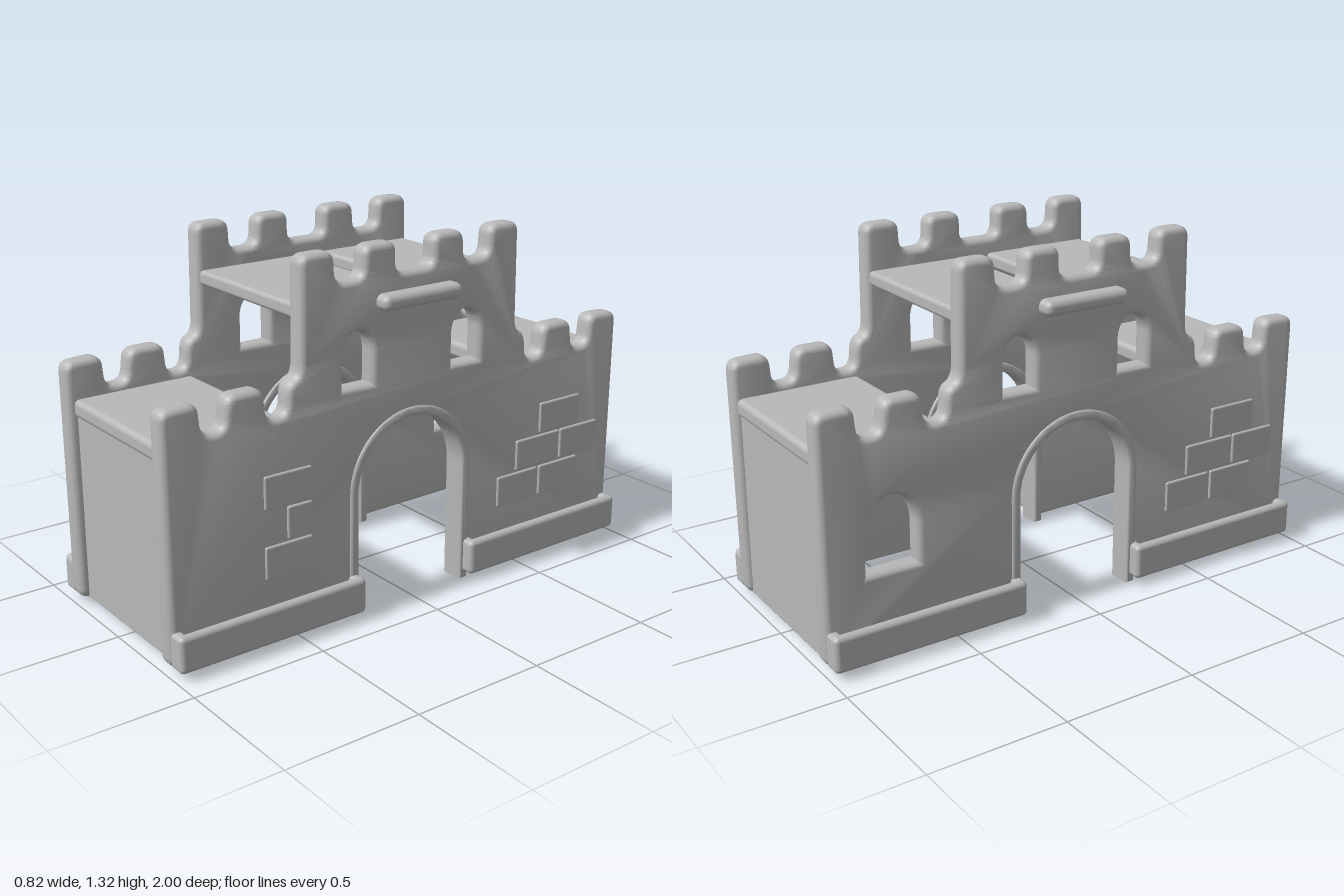
import * as THREE from 'three';
import { toCreasedNormals } from 'three/addons/utils/BufferGeometryUtils.js';
import { RoundedBoxGeometry } from 'three/addons/geometries/RoundedBoxGeometry.js';

const plastic = new THREE.MeshStandardMaterial({ color: 0xb8b8b8 });
plastic.name = 'grey plastic';

const ARCH_C = -0.01, ARCH_R = 0.235, ARCH_Y = 0.455;

function add(parent, name, geometry) {
  const mesh = new THREE.Mesh(geometry, plastic);
  mesh.name = name;
  parent.add(mesh);
  return mesh;
}

// rounded block given by its min and max corners
function block(parent, name, [x0, y0, z0], [x1, y1, z1], r) {
  const mesh = add(parent, name, new RoundedBoxGeometry(x1 - x0, y1 - y0, z1 - z0, 3, r));
  mesh.position.set((x0 + x1) / 2, (y0 + y1) / 2, (z0 + z1) / 2);
  return mesh;
}

// extrudes a side-on shape (s = -z, y) from x0 to x1 with rounded edges
function slab(shape, x0, x1, bevel, size = bevel) {
  const g = new THREE.ExtrudeGeometry(shape, {
    depth: x1 - x0 - 2 * bevel, bevelThickness: bevel, bevelSize: size, bevelOffset: -size,
    bevelSegments: 4, curveSegments: 16,
  });
  g.translate(0, 0, x0 + bevel);
  g.rotateY(Math.PI / 2);
  return toCreasedNormals(g, 0.7);
}

// adds straight lines with rounded corners through the points
function roundedLine(shape, pts, r) {
  for (let i = 0; i < pts.length; i++) {
    const p = new THREE.Vector2(...pts[i]);
    if (i === 0 || i === pts.length - 1) {
      if (i === 0) shape.moveTo(p.x, p.y); else shape.lineTo(p.x, p.y);
      continue;
    }
    const a = new THREE.Vector2(...pts[i - 1]).sub(p), b = new THREE.Vector2(...pts[i + 1]).sub(p);
    const ra = Math.min(r, a.length() * 0.45), rb = Math.min(r, b.length() * 0.45);
    a.setLength(ra).add(p);
    b.setLength(rb).add(p);
    shape.lineTo(a.x, a.y);
    shape.quadraticCurveTo(p.x, p.y, b.x, b.y);
  }
}

function windowHole(c, y0, y1, w) {
  const h = new THREE.Path(), r = w / 2;
  h.moveTo(c - r, y0);
  h.lineTo(c + r, y0);
  h.lineTo(c + r, y1 - r * 1.3);
  h.absellipse(c, y1 - r * 1.3, r, r * 1.3, 0, Math.PI, false);
  h.closePath();
  return h;
}

// wall outline with battlements and gateway
function wallShape(lowWindow) {
  // right half of the skyline, from the middle outwards
  const half = [
    [0.08, 1.205], [0.08, 1.315], [0.215, 1.315], [0.22, 1.205], [0.33, 1.205], [0.335, 1.315],
    [0.47, 1.315], [0.475, 0.92], [0.523, 0.895], [0.53, 0.795], [0.605, 0.795], [0.615, 0.908],
    [0.755, 0.908], [0.768, 0.795], [0.847, 0.795], [0.857, 0.908], [0.998, 0.903], [0.995, 0.025],
  ];
  const a = ARCH_C - ARCH_R, b = ARCH_C + ARCH_R;
  const shape = new THREE.Shape();
  roundedLine(shape, [
    [b, 0.02], ...half.slice().reverse(), ...half.map(([s, y]) => [-s, y]), [a, 0.02],
  ], 0.04);
  shape.lineTo(a, ARCH_Y);
  shape.absarc(ARCH_C, ARCH_Y, ARCH_R, Math.PI, 0, true);
  shape.closePath();
  for (const c of [-0.242, 0.233]) shape.holes.push(windowHole(c, 0.84, 1.03, 0.12));
  if (lowWindow) shape.holes.push(windowHole(-0.74, 0.32, 0.58, 0.19));
  return shape;
}

// raised lip around the gateway
function archRim() {
  const s = new THREE.Shape(), R = ARCH_R + 0.035, r = ARCH_R - 0.002;
  s.moveTo(ARCH_C + r, 0);
  s.lineTo(ARCH_C + R, 0);
  s.absarc(ARCH_C, ARCH_Y, R, 0, Math.PI, false);
  s.lineTo(ARCH_C - R, 0);
  s.lineTo(ARCH_C - r, 0);
  s.absarc(ARCH_C, ARCH_Y, r, Math.PI, 0, true);
  s.closePath();
  return s;
}

// one complete side, built on +x
function buildSide(name, lowWindow) {
  const side = new THREE.Group();
  side.name = name;
  add(side, 'wall', slab(wallShape(lowWindow), 0.276, 0.356, 0.028, 0.022));
  add(side, 'archRim', slab(archRim(), 0.268, 0.364, 0.012));
  block(side, 'ledge', [0.33, 1.092, -0.17], [0.411, 1.147, 0.17], 0.024);

  // foot rails, standing slightly off the wall and joined at both ends
  for (const [z0, z1] of [[0.245, 0.99], [-0.99, -0.235]]) {
    block(side, 'footRail', [0.372, 0.028, z0], [0.41, 0.16, z1], 0.018);
    for (const z of [z0, z1 - 0.04]) block(side, 'railEnd', [0.335, 0.03, z], [0.4, 0.158, z + 0.04], 0.016);
  }

  // raised bricks: [s start, s end, course]
  const bricks = [[0.605, 0.81, 2], [0.49, 0.71, 1], [0.715, 0.91, 1], [0.4, 0.6, 0], [0.61, 0.81, 0]];
  if (!lowWindow) bricks.push([-0.63, -0.44, 2], [-0.54, -0.44, 1], [-0.63, -0.44, 0]);
  for (const [s0, s1, row] of bricks) {
    const y = 0.242 + row * 0.125;
    block(side, 'brick', [0.34, y, -s1], [0.364, y + 0.118, -s0], 0.007);
  }
  return side;
}

export function createModel() {
  const model = new THREE.Group();
  model.name = 'castlePlayhouse';
  model.add(buildSide('leftSide', false));
  const other = buildSide('rightSide', true);
  other.rotation.y = Math.PI;
  model.add(other);

  const X = 0.292;
  // low roofs and end panels
  block(model, 'frontRoof', [-X, 0.708, 0.505], [X, 0.772, 0.975], 0.02);
  block(model, 'backRoof', [-X, 0.708, -0.988], [X, 0.772, -0.518], 0.02);
  block(model, 'frontPanel', [-X, 0.03, 0.935], [X, 0.74, 0.965], 0.005);
  block(model, 'backPanel', [-X, 0.03, -0.978], [X, 0.74, -0.948], 0.005);
  // high roofs
  block(model, 'frontHighRoof', [-X, 1.095, 0.03], [X, 1.148, 0.462], 0.015);
  block(model, 'backHighRoof', [-X, 1.095, -0.462], [X, 1.148, -0.068], 0.015);
  return model;
}
